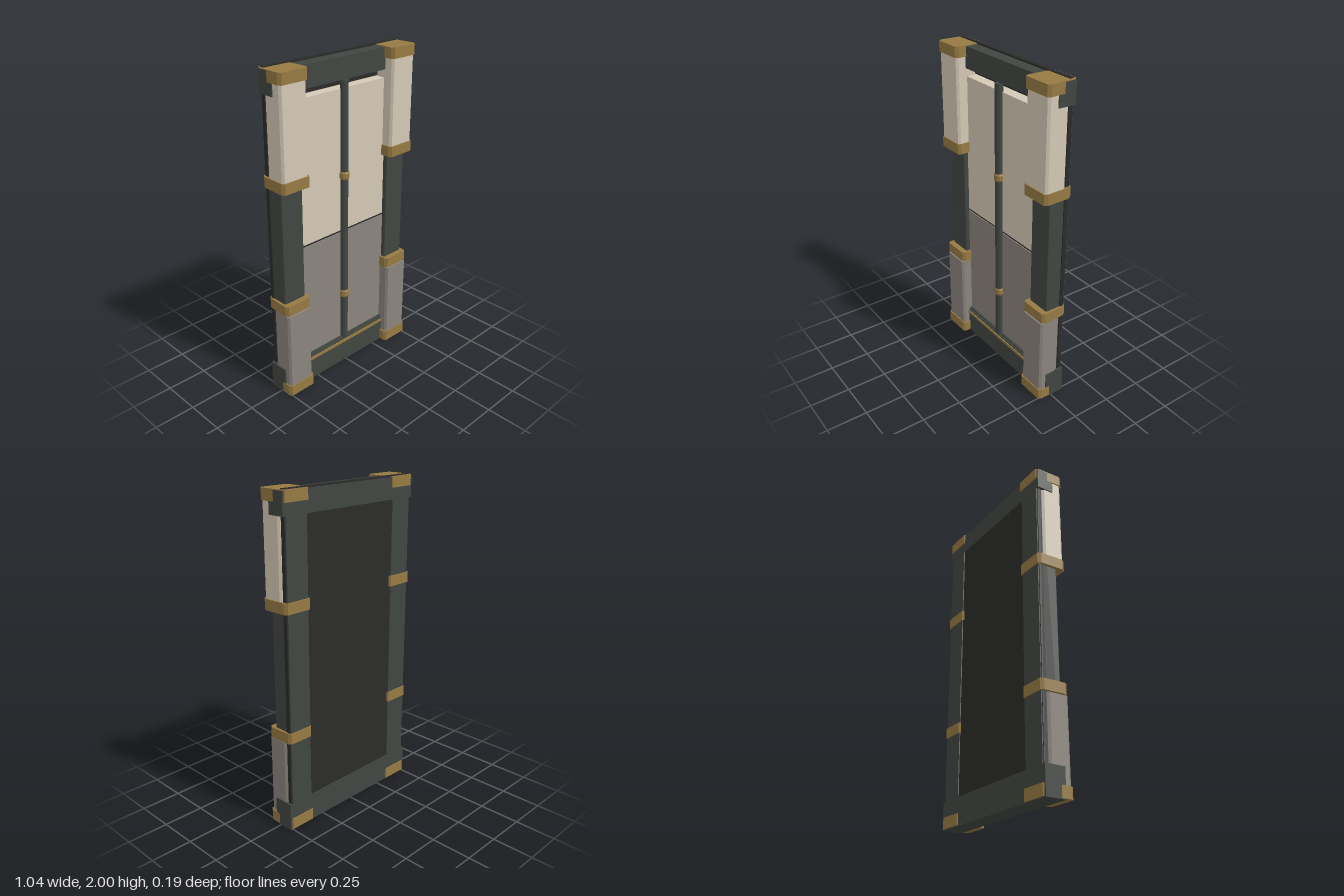
import * as THREE from 'three';

const mat = (color) => new THREE.MeshStandardMaterial({ color, flatShading: true });

export function createModel() {
  const root = new THREE.Group();
  const frame = mat(0x414641), dark = mat(0x2b2b2a), cream = mat(0xd4c9b5);
  const stone = mat(0x8b847d), brass = mat(0x967a43);

  const add = (name, geometry, material) => {
    const mesh = new THREE.Mesh(geometry, material);
    mesh.name = name;
    root.add(mesh);
    return mesh;
  };
  // Box given by its lower and upper bounds
  const box = (name, m, x0, x1, y0, y1, z0, z1) => {
    const g = new THREE.BoxGeometry(x1 - x0, y1 - y0, z1 - z0);
    g.translate((x0 + x1) / 2, (y0 + y1) / 2, (z0 + z1) / 2);
    return add(name, g, m);
  };
  // Upright prism from a plan outline of [x, z] points; s mirrors it across x
  const prism = (name, m, s, plan, y0, y1) => {
    const shape = new THREE.Shape(plan.map(([x, z]) => new THREE.Vector2(s * x, -z)));
    const g = new THREE.ExtrudeGeometry(shape, { depth: y1 - y0, bevelEnabled: false });
    g.rotateX(-Math.PI / 2).translate(0, y0, 0);
    return add(name, g, m);
  };
  // Slightly tapered plan with chamfered corners
  const plan = (xi, xo, z0, z1, c, taper = 0) => [
    [xi + c, z1], [xo - c, z1], [xo, z1 - c * 1.5], [xo - taper, z0 + c * 1.5],
    [xo - taper - c, z0], [xi + taper + c, z0], [xi + taper, z0 + c * 1.5], [xi, z1 - c * 1.5],
  ];

  // Core slab, whose rear face is the recessed back panel
  box('coreSlab', dark, -0.5, 0.5, 0.005, 2, -0.08, -0.055);

  // Rear surround with an opening
  const surround = new THREE.Shape([
    [-0.495, 0.01], [0.495, 0.01], [0.495, 1.99], [-0.495, 1.99],
  ].map(([x, y]) => new THREE.Vector2(x, y)));
  surround.holes.push(new THREE.Path([
    [-0.345, 0.16], [-0.345, 1.86], [0.345, 1.86], [0.345, 0.16],
  ].map(([x, y]) => new THREE.Vector2(x, y))));
  const rear = new THREE.ExtrudeGeometry(surround, { depth: 0.007, bevelEnabled: false });
  add('rearSurround', rear.translate(0, 0, -0.086), frame);

  // Top and bottom rails
  box('topRail', frame, -0.515, 0.515, 1.86, 1.99, -0.086, 0.022);
  box('bottomRail', frame, -0.515, 0.515, 0, 0.17, -0.086, 0.04);
  box('sill', frame, -0.345, 0.345, 0.165, 0.18, -0.055, 0.03);
  box('sillTrim', brass, -0.34, 0.34, 0.142, 0.16, 0.03, 0.047);

  // Door panels with a dark joint between them
  box('upperPanel', cream, -0.35, 0.35, 0.938, 1.81, -0.056, 0.014);
  box('panelJoint', dark, -0.35, 0.35, 0.925, 0.938, -0.056, 0.01);
  box('lowerPanel', stone, -0.35, 0.35, 0.17, 0.925, -0.056, 0.016);

  // Centre rod with two collars
  const rod = new THREE.CylinderGeometry(0.025, 0.025, 1.69, 12);
  add('centreRod', rod, frame).position.set(0, 1.015, 0.022);
  for (const y of [0.5, 1.295]) {
    const profile = [[0, -0.025], [0.026, -0.025], [0.031, -0.015], [0.031, 0.015], [0.026, 0.025], [0, 0.025]]
      .map(([r, h]) => new THREE.Vector2(r, h));
    add('rodCollar', new THREE.LatheGeometry(profile, 12), brass).position.set(0, y, 0.022);
  }

  // Side posts, mirrored: stile, cladding and brass bands
  for (const s of [-1, 1]) {
    const side = s > 0 ? 'left' : 'right';
    prism(side + 'Stile', frame, s, plan(0.345, 0.496, -0.056, 0.043, 0.003), 0.01, 1.98);
    prism(side + 'UpperCladding', cream, s, plan(0.331, 0.511, -0.05, 0.085, 0.01, 0.003), 1.39, 1.94);
    prism(side + 'LowerCladding', stone, s, plan(0.334, 0.509, -0.05, 0.085, 0.01, 0.003), 0.065, 0.56);
    const bands = [
      // y0, y1, inner x, outer x, front z
      [0.005, 0.073, 0.323, 0.517, 0.092],
      [0.565, 0.63, 0.328, 0.514, 0.08],
      [1.335, 1.4, 0.322, 0.518, 0.092],
      [1.93, 1.995, 0.322, 0.518, 0.092],
    ];
    for (const [y0, y1, xi, xo, z1] of bands) {
      prism(side + 'Band', brass, s, plan(xi, xo, -0.093, z1, 0.013, 0.005), y0, y1);
    }
  }
  return root;
}
